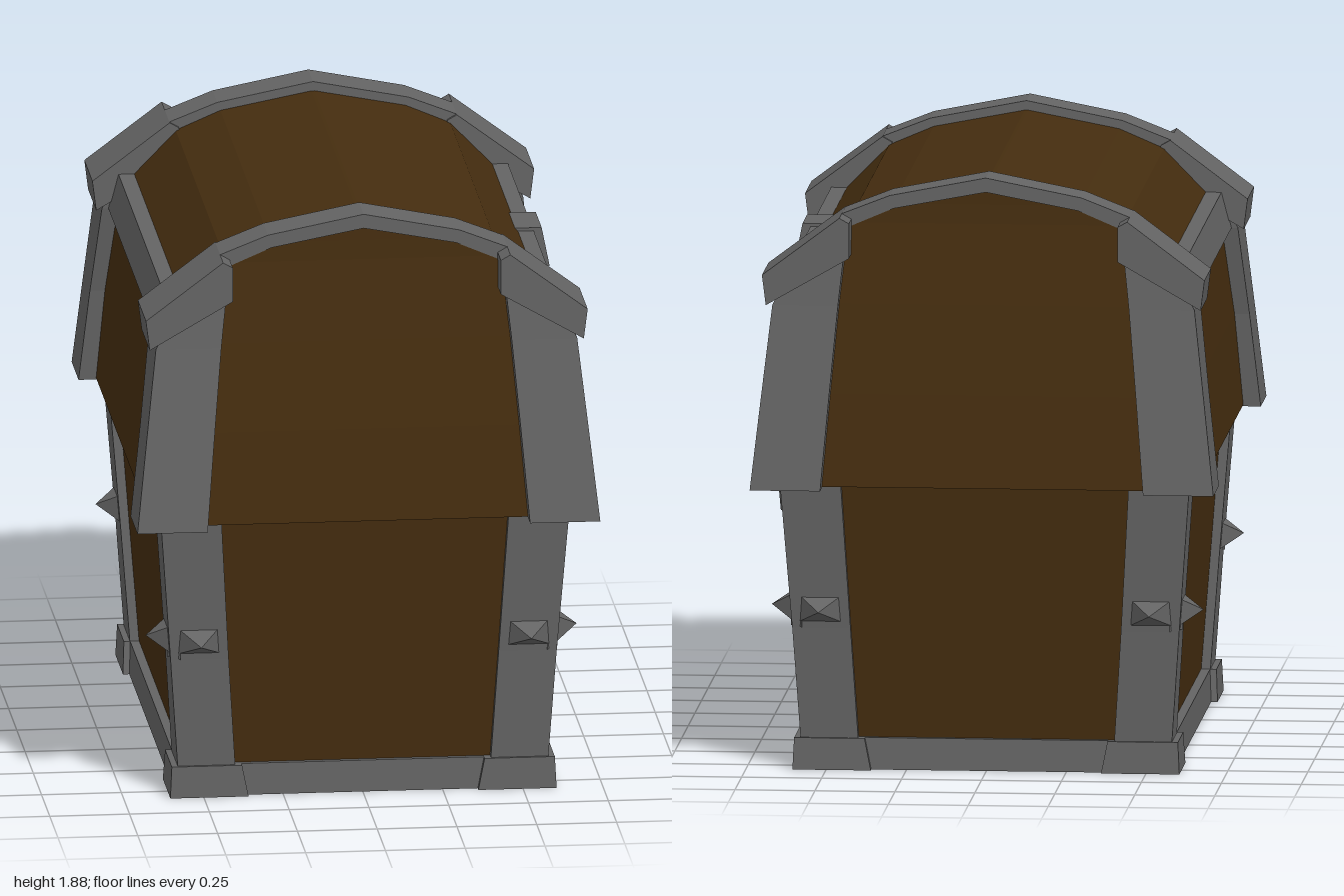
import * as THREE from 'three';

const wood = new THREE.MeshStandardMaterial({ color: 0x452d0f });
wood.name = 'dark wood';
const iron = new THREE.MeshStandardMaterial({ color: 0x646464 });
iron.name = 'grey iron';

// Faceted solid through rectangular sections [y, xA, xB, zA, zB], mirrored by sx and sz
function loft(levels, sx = 1, sz = 1) {
  const rings = levels.map(([y, xa, xb, za, zb]) => {
    const x0 = Math.min(xa * sx, xb * sx), x1 = Math.max(xa * sx, xb * sx);
    const z0 = Math.min(za * sz, zb * sz), z1 = Math.max(za * sz, zb * sz);
    return [[x0, y, z1], [x1, y, z1], [x1, y, z0], [x0, y, z0]];
  });
  const pos = [];
  const quad = (a, b, c, d) => [a, b, c, a, c, d].forEach((p) => pos.push(...p));
  for (let i = 0; i + 1 < rings.length; i++) {
    for (let k = 0; k < 4; k++) {
      const n = (k + 1) % 4;
      quad(rings[i][k], rings[i][n], rings[i + 1][n], rings[i + 1][k]);
    }
  }
  const b = rings[0], t = rings[rings.length - 1];
  quad(b[3], b[2], b[1], b[0]);
  quad(t[0], t[1], t[2], t[3]);
  const geo = new THREE.BufferGeometry();
  geo.setAttribute('position', new THREE.Float32BufferAttribute(pos, 3));
  geo.computeVertexNormals();
  return geo;
}

// Flat outline extruded along +z
function prism(points, depth, hole) {
  const shape = new THREE.Shape(points.map(([x, y]) => new THREE.Vector2(x, y)));
  if (hole) shape.holes.push(new THREE.Path(hole.map(([x, y]) => new THREE.Vector2(x, y))));
  return new THREE.ExtrudeGeometry(shape, { depth, bevelEnabled: false });
}

// Four-sided stud with a 1 x 1 base in xy and its point toward +z
function stud(width, height, depth) {
  const geo = new THREE.ConeGeometry(Math.SQRT1_2, 1, 4).toNonIndexed();
  geo.rotateY(Math.PI / 4).rotateX(Math.PI / 2).translate(0, 0, 0.5).scale(width, height, depth);
  geo.computeVertexNormals();
  return geo;
}

export function createModel() {
  const chest = new THREE.Group();
  chest.name = 'chest';
  const add = (name, geo, mat = iron) => {
    const mesh = new THREE.Mesh(geo, mat);
    mesh.name = name;
    chest.add(mesh);
    return mesh;
  };
  const centred = (levels) => levels.map(([y, x, z]) => [y, -x, x, -z, z]);

  // Wooden body and domed lid
  add('body', loft(centred([[0.005, 0.545, 0.785], [0.91, 0.61, 0.86]])), wood);
  add('lid', loft(centred([
    [0.91, 0.67, 0.94], [1.2, 0.645, 0.91], [1.48, 0.61, 0.875], [1.57, 0.585, 0.86],
    [1.73, 0.43, 0.838], [1.79, 0.29, 0.834], [1.845, 0.005, 0.832],
  ])), wood);

  for (const sx of [1, -1]) {
    for (const sz of [1, -1]) {
      // Corner posts of body and lid
      add('bodyPost', loft([
        [0.09, 0.40, 0.58, 0.63, 0.82], [0.45, 0.423, 0.605, 0.67, 0.84], [0.91, 0.45, 0.64, 0.71, 0.885],
      ], sx, sz));
      add('lidPost', loft([
        [0.905, 0.505, 0.725, 0.79, 1.0], [1.2, 0.48, 0.692, 0.765, 0.963],
        [1.48, 0.455, 0.66, 0.71, 0.928], [1.62, 0.44, 0.59, 0.70, 0.915],
      ], sx, sz));

      // Base corner brackets, one arm along each side
      add('baseCornerEnd', loft([[0, 0.36, 0.605, 0.77, 0.835], [0.1, 0.38, 0.6, 0.77, 0.83]], sx, sz));
      add('baseCornerSide', loft([[0, 0.54, 0.605, 0.605, 0.835], [0.1, 0.54, 0.6, 0.625, 0.83]], sx, sz));

      // Sloping cap where the arch meets the post
      const outline = [[0.68, 1.48], [0.692, 1.575], [0.45, 1.757], [0.42, 1.74], [0.42, 1.63]];
      const cap = prism(outline.map(([x, y]) => [x * sx, y]), 0.245);
      add('lidCap', cap).position.z = sz > 0 ? 0.69 : -0.935;

      // Pointed studs on both faces of the post
      const endStud = add('endStud', stud(0.19, 0.12, 0.125));
      endStud.position.set(0.517 * sx, 0.51, 0.8 * sz);
      endStud.rotation.y = sz > 0 ? 0 : Math.PI;
      const sideStud = add('sideStud', stud(0.17, 0.12, 0.1));
      sideStud.position.set(0.575 * sx, 0.51, 0.76 * sz);
      sideStud.rotation.y = sx * Math.PI / 2;
    }

    // Side rails of base and lid
    add('baseSideRail', loft([[0, 0.53, 0.585, -0.8, 0.8], [0.1, 0.53, 0.58, -0.8, 0.8]], sx));
    add('lidSideRail', loft([[1.48, 0.55, 0.64, -0.72, 0.72], [1.595, 0.55, 0.61, -0.7, 0.7]], sx));
  }

  for (const sz of [1, -1]) {
    // End rail of the base and arched rib of the lid
    add('baseEndRail', loft([[0, -0.57, 0.57, 0.765, 0.815], [0.1, -0.57, 0.57, 0.765, 0.81]], 1, sz));
    const half = [[0.64, 1.6], [0.45, 1.757], [0.3, 1.816]];
    const under = [[0.29, 1.775], [0.43, 1.715], [0.57, 1.56]];
    const flip = (list) => list.map(([x, y]) => [-x, y]).reverse();
    const rib = prism([...half, [0, 1.875], ...flip(half), ...flip(under), [0, 1.83], ...under], 0.14);
    add('lidRib', rib).position.z = sz > 0 ? 0.7 : -0.84;
  }

  // Centre strap on the lock side
  add('bodyStrap', loft([[0, 0.54, 0.595, -0.08, 0.08], [0.1, 0.54, 0.59, -0.08, 0.08],
    [0.101, 0.54, 0.575, -0.08, 0.08], [0.91, 0.59, 0.63, -0.085, 0.085]]));
  add('lidStrap', loft([[0.905, 0.6, 0.695, -0.095, 0.095], [1.2, 0.6, 0.67, -0.092, 0.092],
    [1.48, 0.57, 0.635, -0.09, 0.09]]));
  add('strapEnd', loft([[1.48, 0.55, 0.66, -0.09, 0.09], [1.605, 0.55, 0.635, -0.09, 0.09]]));

  // Lock plate with a keyhole slot
  const plate = [[-0.1, 0.7], [0.1, 0.7], [0.165, 0.77], [0.165, 0.91], [-0.165, 0.91], [-0.165, 0.77]];
  const slot = [[0, 0.76], [-0.03, 0.785], [-0.03, 0.88], [0, 0.9], [0.03, 0.88], [0.03, 0.785]];
  const lock = add('lockPlate', prism(plate, 0.1, slot));
  lock.rotation.y = Math.PI / 2;
  lock.position.x = 0.602;

  return chest;
}
